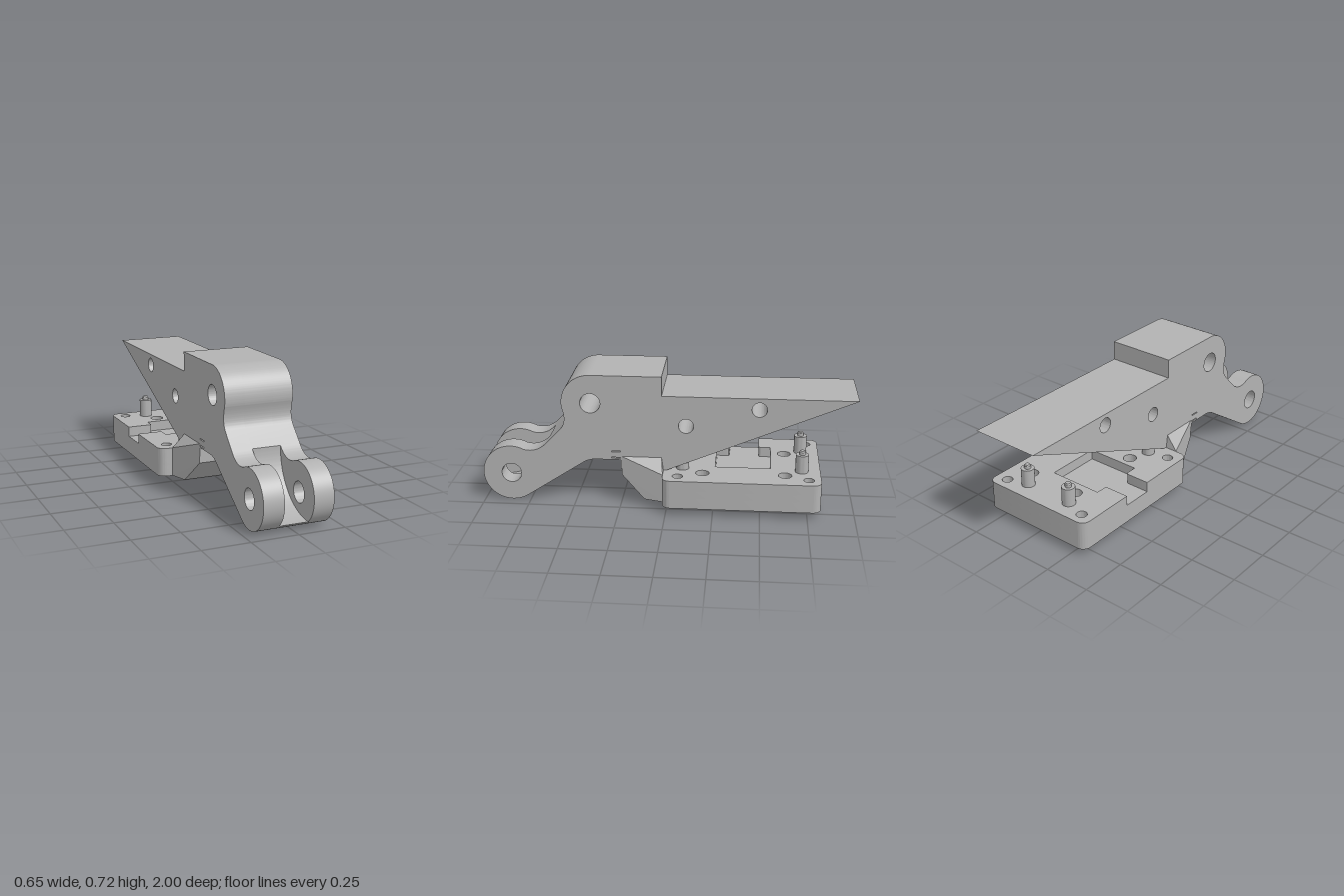
import * as THREE from 'three';
import { toCreasedNormals } from 'three/addons/utils/BufferGeometryUtils.js';
import { ConvexGeometry } from 'three/addons/geometries/ConvexGeometry.js';

const grey = new THREE.MeshStandardMaterial({ color: 0xb2b2b2 });
grey.name = 'grey';
const RAD = Math.PI / 180;
const CX = -0.003; // shared centre line of the plate and arm

function circleHole(shape, x, y, r) {
  const p = new THREE.Path();
  p.absarc(x, y, r, 0, Math.PI * 2, true);
  shape.holes.push(p);
}

function extrude(shape, depth) {
  return new THREE.ExtrudeGeometry(shape, { depth, bevelEnabled: false, curveSegments: 32 });
}

function addMesh(parent, name, geometry) {
  const mesh = new THREE.Mesh(geometry, grey);
  mesh.name = name;
  parent.add(mesh);
  return mesh;
}

// Side profile of the arm, drawn in (-z, y); the middle one has the fork slot cut away
function armProfile(slotted) {
  const s = new THREE.Shape();
  s.moveTo(0.998, 0.617);
  s.lineTo(-0.03, 0.617);
  s.lineTo(-0.03, 0.722);
  s.lineTo(-0.41, 0.722);
  s.absarc(-0.41, 0.567, 0.155, 90 * RAD, 190 * RAD, false);
  s.bezierCurveTo(-0.55, 0.5, -0.54, 0.455, -0.575, 0.415);
  s.lineTo(-0.65, 0.337);
  if (slotted) {
    s.absarc(-0.95, 0.337, 0.3, 0, -90 * RAD, true);
    s.absarc(-0.85, 0.155, 0.155, 230 * RAD, 303 * RAD, false);
  } else {
    s.quadraticCurveTo(-0.705, 0.275, -0.78, 0.293);
    s.absarc(-0.85, 0.155, 0.155, 63 * RAD, 303 * RAD, false);
    circleHole(s, -0.85, 0.155, 0.054);
  }
  s.lineTo(-0.45, 0.232);
  s.quadraticCurveTo(-0.42, 0.25, -0.38, 0.25);
  s.lineTo(-0.25, 0.25);
  s.lineTo(-0.25, 0.2);
  s.lineTo(0.0, 0.2);
  // Pivot and cross-pin holes
  circleHole(s, -0.41, 0.567, 0.054);
  circleHole(s, 0.1, 0.453, 0.04);
  circleHole(s, 0.485, 0.555, 0.04);
  // Thin slits near the bracket
  for (const y of [0.261, 0.298]) {
    const slit = new THREE.Path();
    slit.moveTo(-0.3, y - 0.003);
    slit.lineTo(-0.3, y + 0.003);
    slit.lineTo(-0.252, y + 0.003);
    slit.lineTo(-0.252, y - 0.003);
    slit.closePath();
    s.holes.push(slit);
  }
  return s;
}

// Rounded plate outline in (x, -z), optionally with the side channel and pocket
function plateProfile(pocketed) {
  const [l, r, b, t, c] = [-0.33, 0.325, -0.02, 0.82, 0.045];
  const s = new THREE.Shape();
  s.moveTo(l + c, b);
  s.lineTo(r - c, b);
  s.absarc(r - c, b + c, c, -90 * RAD, 0, false);
  s.lineTo(r, t - c);
  s.absarc(r - c, t - c, c, 0, 90 * RAD, false);
  s.lineTo(l + c, t);
  s.absarc(l + c, t - c, c, 90 * RAD, 180 * RAD, false);
  if (pocketed) {
    s.lineTo(l, 0.49);
    s.lineTo(-0.205, 0.49);
    s.quadraticCurveTo(-0.19, 0.49, -0.19, 0.505);
    s.lineTo(-0.19, 0.555);
    s.lineTo(0.11, 0.555);
    s.lineTo(0.11, 0.255);
    s.lineTo(-0.19, 0.255);
    s.lineTo(-0.19, 0.31);
    s.quadraticCurveTo(-0.19, 0.325, -0.205, 0.325);
    s.lineTo(l, 0.325);
  }
  s.lineTo(l, b + c);
  s.absarc(l + c, b + c, c, 180 * RAD, 270 * RAD, false);
  return s;
}

export function createModel() {
  const model = new THREE.Group();
  model.name = 'hingedMount';

  // Arm: two fork cheeks with a slotted core between them
  const arm = new THREE.Group();
  arm.name = 'arm';
  model.add(arm);
  for (const [name, x0, x1, slotted] of [
    ['rightCheek', -0.19, -0.08, false],
    ['armCore', -0.08, 0.075, true],
    ['leftCheek', 0.075, 0.184, false],
  ]) {
    const geo = extrude(armProfile(slotted), x1 - x0);
    geo.rotateY(Math.PI / 2);
    geo.translate(x0, 0, 0);
    addMesh(arm, name, toCreasedNormals(geo, 0.5));
  }

  // Tapered bracket joining the arm to the plate
  const corners = [];
  for (const m of [-1, 1]) {
    for (const [x, y, z] of [
      [0.253, 0.04, 0.02], [0.253, 0.197, 0.02], [0.187, 0.27, 0.03],
      [0.187, 0.27, 0.245], [0.187, 0.165, 0.245], [0.223, 0.04, 0.12],
    ]) corners.push(new THREE.Vector3(CX + m * x, y, z));
  }
  addMesh(model, 'bracket', new ConvexGeometry(corners));

  // Base plate in three layers: counterbores, through holes, pocket
  const plate = new THREE.Group();
  plate.name = 'basePlate';
  model.add(plate);
  for (const [name, y0, y1, cornerR, innerR] of [
    ['plateBottom', 0.04, 0.1, 0.052, 0.021],
    ['plateMiddle', 0.1, 0.14, 0.028, 0.021],
    ['plateTop', 0.14, 0.196, 0.028, 0.036],
  ]) {
    const shape = plateProfile(name === 'plateTop');
    for (const x of [-0.257, 0.257])
      for (const z of [-0.06, -0.755]) circleHole(shape, CX + x, -z, cornerR);
    for (const x of [-0.105, 0.2])
      for (const z of [-0.19, -0.63]) circleHole(shape, x, -z, innerR);
    const geo = extrude(shape, y1 - y0);
    geo.rotateX(-Math.PI / 2);
    geo.translate(0, y0, 0);
    addMesh(plate, name, toCreasedNormals(geo, 0.5));
  }

  // Stepped locating pegs
  const pegProfile = [[0, 0], [0.035, 0], [0.035, 0.1], [0.017, 0.1], [0.017, 0.116], [0.013, 0.122], [0, 0.122]]
    .map(([r, y]) => new THREE.Vector2(r, y));
  const pegGeo = toCreasedNormals(new THREE.LatheGeometry(pegProfile, 32), 0.5);
  for (const x of [-0.14, 0.14]) {
    for (const z of [-0.08, -0.72]) {
      addMesh(model, 'locatingPeg', pegGeo).position.set(CX + x, 0.195, z);
    }
  }
  return model;
}
